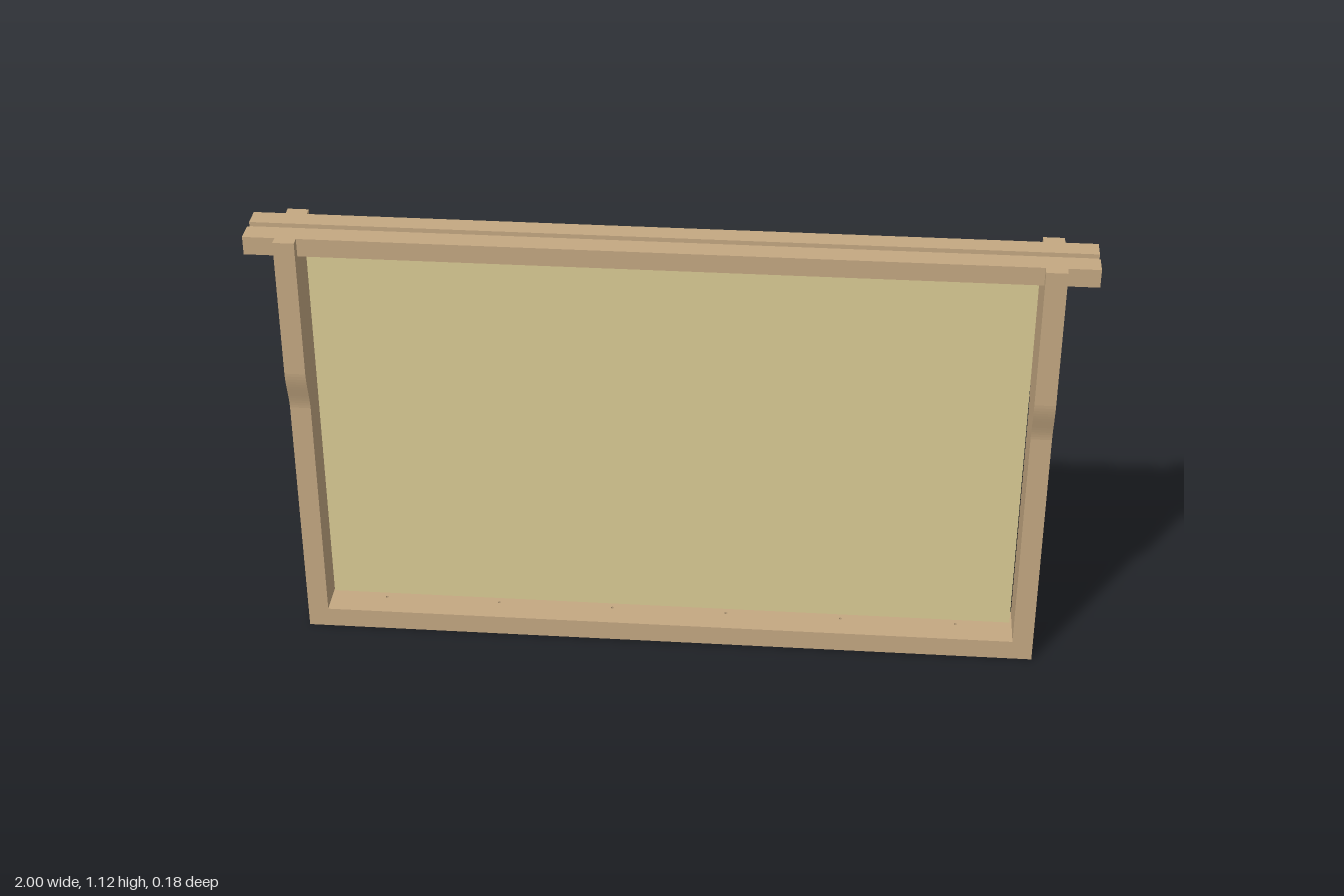
import * as THREE from 'three';

const wood = new THREE.MeshStandardMaterial({ color: 0xc4a882 });
const wax = new THREE.MeshStandardMaterial({ color: 0xdacb94 });

const TOP = 1.12, BAR_Z = 0.064, WIDE_Z = 0.088, GROOVE_Z = 0.012;
const TOP_BAR_Y = 1.074, END_IN = 0.872, END_OUT = 0.923, BOTTOM_H = 0.052;
const HOLES = [-0.73, -0.438, -0.146, 0.146, 0.438, 0.73];

function add(parent, name, geometry, material, x = 0, y = 0, z = 0) {
  const mesh = new THREE.Mesh(geometry, material);
  mesh.name = name;
  mesh.position.set(x, y, z);
  parent.add(mesh);
}

// Grooved bar: two full-height rails joined by a lower web drilled with wire holes
function groovedBar(name, halfLength, y0, y1, web0, web1) {
  const bar = new THREE.Group();
  bar.name = name;
  const railW = BAR_Z - GROOVE_Z;
  for (const s of [-1, 1]) {
    add(bar, 'rail', new THREE.BoxGeometry(halfLength * 2, y1 - y0, railW), wood,
      0, (y0 + y1) / 2, s * (GROOVE_Z + railW / 2));
  }
  const plan = new THREE.Shape();
  plan.moveTo(-halfLength, -GROOVE_Z).lineTo(halfLength, -GROOVE_Z);
  plan.lineTo(halfLength, GROOVE_Z).lineTo(-halfLength, GROOVE_Z).closePath();
  for (const x of HOLES) {
    plan.holes.push(new THREE.Path().absarc(x, 0, 0.004, 0, Math.PI * 2, true));
  }
  const web = new THREE.ExtrudeGeometry(plan, { depth: web1 - web0, bevelEnabled: false, curveSegments: 12 });
  web.rotateX(-Math.PI / 2);
  add(bar, 'drilledWeb', web, wood, 0, web0);
  return bar;
}

// End bar: wide shoulders curving into a narrow leg, notched for the top bar
function endBarGeometry() {
  const s = new THREE.Shape();
  s.moveTo(-BAR_Z, 0).lineTo(BAR_Z, 0).lineTo(BAR_Z, 0.655);
  s.bezierCurveTo(BAR_Z + 0.002, 0.69, WIDE_Z - 0.002, 0.725, WIDE_Z, 0.765);
  s.lineTo(WIDE_Z, TOP).lineTo(BAR_Z, TOP).lineTo(BAR_Z, TOP_BAR_Y);
  s.lineTo(-BAR_Z, TOP_BAR_Y).lineTo(-BAR_Z, TOP).lineTo(-WIDE_Z, TOP).lineTo(-WIDE_Z, 0.765);
  s.bezierCurveTo(-WIDE_Z + 0.002, 0.725, -BAR_Z - 0.002, 0.69, -BAR_Z, 0.655);
  s.closePath();
  const g = new THREE.ExtrudeGeometry(s, { depth: END_OUT - END_IN, bevelEnabled: false, curveSegments: 14 });
  g.translate(0, 0, -(END_OUT - END_IN) / 2);
  return g.rotateY(Math.PI / 2);
}

export function createModel() {
  const model = new THREE.Group();
  model.name = 'hiveFrame';

  // Top bar grooved above, bottom bar grooved below
  model.add(groovedBar('topBar', 1, TOP_BAR_Y, TOP, TOP_BAR_Y, TOP - 0.011));
  model.add(groovedBar('bottomBar', END_IN, 0, BOTTOM_H, 0.011, BOTTOM_H));

  // End bars
  const endGeometry = endBarGeometry();
  const endX = (END_IN + END_OUT) / 2;
  add(model, 'leftEndBar', endGeometry, wood, endX);
  add(model, 'rightEndBar', endGeometry, wood, -endX);

  // Thin foundation sheet held just clear of the bars
  add(model, 'foundationSheet', new THREE.BoxGeometry(1.73, 0.992, 0.008), wax, 0, 0.564);

  return model;
}
